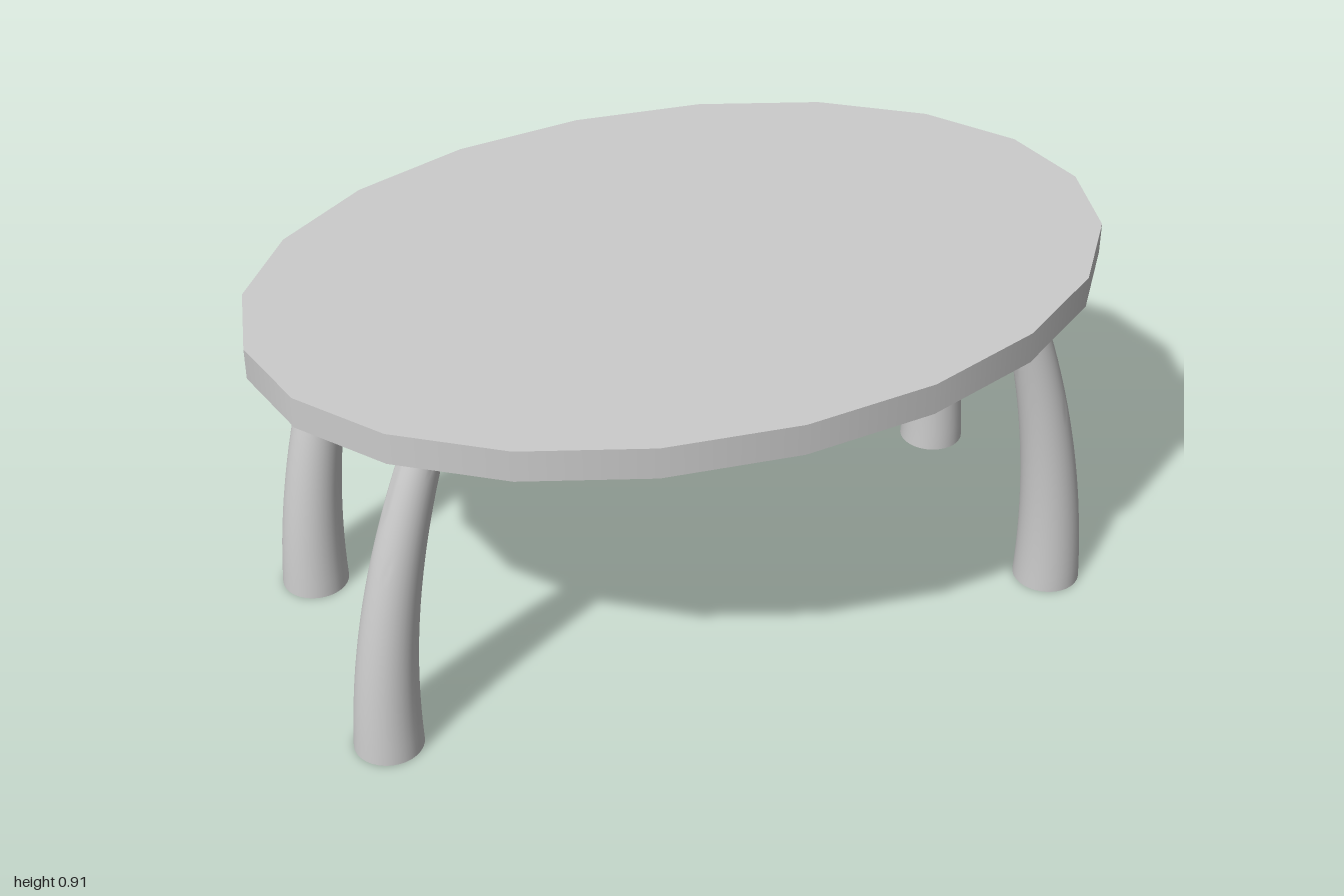
import * as THREE from 'three';
import { toCreasedNormals } from 'three/addons/utils/BufferGeometryUtils.js';

const LEG_HEIGHT = 0.86; // ends just inside the top
const TOP_Y = 0.83;
const TOP_THICKNESS = 0.075;

// Tapered leg that rises vertically, then curves inward toward x = 0
function legGeometry() {
  const geo = new THREE.CylinderGeometry(1, 1, LEG_HEIGHT, 32, 20);
  geo.translate(0, LEG_HEIGHT / 2, 0);
  const p = geo.attributes.position;
  for (let i = 0; i < p.count; i++) {
    const t = p.getY(i) / TOP_Y;
    const radius = THREE.MathUtils.lerp(0.08, 0.043, t);
    const slope = (-2 * 0.143 * t) / TOP_Y;
    const stretch = Math.sqrt(1 + slope * slope); // keeps the slanted leg round
    p.setX(i, 0.833 - 0.143 * t * t + p.getX(i) * radius * stretch);
    p.setZ(i, p.getZ(i) * radius);
  }
  return toCreasedNormals(geo, Math.PI / 4);
}

export function createModel() {
  const model = new THREE.Group();
  model.name = 'table';
  const material = new THREE.MeshStandardMaterial({ color: 0xcccccc });

  // Oval top with twenty sides
  const topGeo = new THREE.CylinderGeometry(1, 1, TOP_THICKNESS, 20);
  topGeo.scale(1, 1, 0.695);
  const top = new THREE.Mesh(topGeo, material);
  top.name = 'tableTop';
  top.position.y = TOP_Y + TOP_THICKNESS / 2;
  model.add(top);

  // Four legs; the right pair is turned half round
  const geo = legGeometry();
  for (const [side, angle] of [['Left', 0], ['Right', Math.PI]]) {
    for (const [end, z] of [['front', 0.317], ['back', -0.317]]) {
      const leg = new THREE.Mesh(geo, material);
      leg.name = `${end}${side}Leg`;
      leg.rotation.y = angle;
      leg.position.z = z;
      model.add(leg);
    }
  }
  return model;
}
